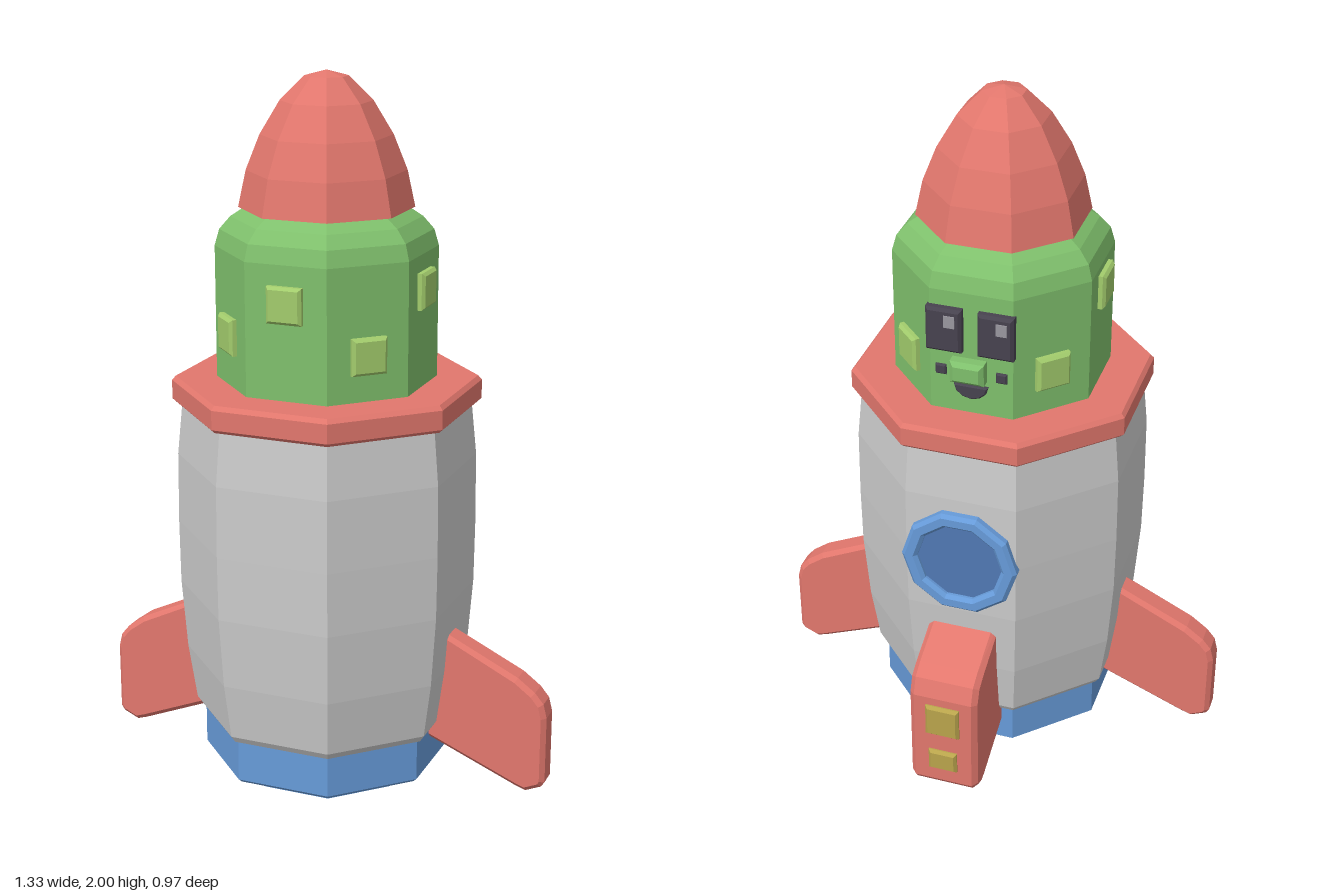
import * as THREE from 'three';

const AXIS_Z = 0.087;
const RED = 0xe2776d, GREEN = 0x7fc06c, LIME = 0xa2cc6c, BLUE = 0x679bd9;
const DEEP_BLUE = 0x5078b4, YELLOW = 0xb9a44c, DARK = 0x47424f, GLINT = 0x9a97a0;

function part(name, geometry, color = 0xcccccc) {
  const material = new THREE.MeshStandardMaterial({ color, flatShading: true });
  const mesh = new THREE.Mesh(geometry, material);
  mesh.name = name;
  return mesh;
}

// Turned solid; profile radii are measured to the flats, which face the axes.
function turned(profile, sides = 8) {
  const k = 1 / Math.cos(Math.PI / sides);
  const points = profile.map(([r, y]) => new THREE.Vector2(r * k, y));
  return new THREE.LatheGeometry(points, sides, Math.PI / sides);
}

// Chamfered slab spanning z = 0 to depth
function slab(points, depth, bevel) {
  const shape = new THREE.Shape(points.map(([x, y]) => new THREE.Vector2(x, y)));
  const g = new THREE.ExtrudeGeometry(shape, {
    depth: depth - 2 * bevel, bevelEnabled: bevel > 0, bevelSize: bevel,
    bevelThickness: bevel, bevelOffset: -bevel, bevelSegments: 1,
  });
  return g.translate(0, 0, bevel);
}

function tile(w, h, d, bevel = 0.008) {
  const x = w / 2, y = h / 2;
  return slab([[-x, -y], [x, -y], [x, y], [-x, y]], d, bevel);
}

function put(parent, mesh, x, y, z) {
  mesh.position.set(x, y, z);
  parent.add(mesh);
}

export function createModel() {
  const root = new THREE.Group();
  root.name = 'rocket';
  const rocket = new THREE.Group();
  rocket.name = 'rocketBody';
  rocket.position.z = AXIS_Z;
  root.add(rocket);

  // Main stack of octagonal sections
  rocket.add(part('engineBase', turned([[0, 0], [0.23, 0], [0.23, 0.05], [0.315, 0.05],
    [0.325, 0.06], [0.325, 0.18], [0, 0.18]]), BLUE));
  rocket.add(part('hull', turned([[0, 0.18], [0.335, 0.18], [0.348, 0.2], [0.37, 0.36],
    [0.384, 0.56], [0.386, 0.74], [0.384, 0.94], [0.37, 1.09], [0, 1.09]])));
  rocket.add(part('collar', turned([[0, 1.09], [0.385, 1.09], [0.395, 1.1], [0.395, 1.153],
    [0.385, 1.165], [0, 1.165]]), RED));
  rocket.add(part('head', turned([[0, 1.165], [0.28, 1.165], [0.28, 1.53], [0.268, 1.575],
    [0.24, 1.61], [0.195, 1.642], [0, 1.642]]), GREEN));
  rocket.add(part('noseCone', turned([[0, 1.635], [0.22, 1.635], [0.2, 1.735], [0.165, 1.83],
    [0.115, 1.92], [0.055, 1.985], [0, 2]]), RED));

  // Side fins
  const sideFin = [[0.3, 0.5], [0.58, 0.367], [0.63, 0.33], [0.655, 0.3], [0.665, 0.26],
    [0.665, 0.065], [0.655, 0.05], [0.61, 0.03], [0.58, 0.04], [0.3, 0.155]];
  for (const [name, angle] of [['leftFin', 0], ['rightFin', Math.PI]]) {
    const fin = part(name, slab(sideFin, 0.08, 0.013).translate(0, 0, -0.04), RED);
    fin.rotation.y = angle;
    rocket.add(fin);
  }

  // Back fin, wider than the side ones
  const backFin = part('backFin', slab([[0.28, 0.54], [0.5, 0.445], [0.54, 0.42], [0.56, 0.37],
    [0.56, 0.065], [0.548, 0.048], [0.51, 0.035], [0.48, 0.045], [0.25, 0.145]],
  0.2, 0.015).translate(0, 0, -0.1), RED);
  backFin.rotation.y = Math.PI / 2;
  rocket.add(backFin);

  // Raised studs around the head: [angle in eighths of a turn, height]
  const studs = [[0, 1.425], [1, 1.29], [2, 1.435], [3, 1.29], [5, 1.29], [6, 1.46], [7, 1.31]];
  for (const [eighth, y] of studs) {
    const pivot = new THREE.Group();
    pivot.name = 'studMount';
    pivot.rotation.y = eighth * Math.PI / 4;
    put(pivot, part('stud', tile(0.1, 0.1, 0.03), LIME), 0, y, 0.27);
    rocket.add(pivot);
  }

  // Details on the back, built in a group that faces -z
  const back = new THREE.Group();
  back.name = 'backDetails';
  back.rotation.y = Math.PI;
  rocket.add(back);

  // Fin lights
  put(back, part('upperFinLight', tile(0.1, 0.105, 0.025), YELLOW), 0, 0.292, 0.547);
  put(back, part('lowerFinLight', tile(0.085, 0.07, 0.025), YELLOW), 0, 0.145, 0.547);

  // Porthole
  const rim = turned([[0.16, 0], [0.16, 0.026], [0.15, 0.036], [0.127, 0.036], [0.117, 0.026],
    [0.117, 0]], 10).rotateX(Math.PI / 2);
  put(back, part('portholeRim', rim, BLUE), 0, 0.74, 0.375);
  const glass = turned([[0, 0], [0.12, 0], [0.12, 0.018], [0, 0.018]], 10).rotateX(Math.PI / 2);
  put(back, part('portholeGlass', glass, DEEP_BLUE), 0, 0.74, 0.375);

  // Face: eyes with glints, freckles, nose and mouth
  for (const s of [-1, 1]) {
    put(back, part('eye', tile(0.1, 0.13, 0.035), DARK), s * 0.072, 1.42, 0.268);
    put(back, part('eyeGlint', tile(0.03, 0.035, 0.008, 0), GLINT), s * 0.072 + 0.018, 1.45, 0.298);
    put(back, part('freckle', tile(0.03, 0.03, 0.016, 0.004), DARK), s * 0.085, 1.29, 0.272);
  }
  put(back, part('noseBridge', tile(0.06, 0.035, 0.03, 0), GREEN), 0, 1.31, 0.27);
  put(back, part('nose', tile(0.095, 0.065, 0.05, 0.012), GREEN), 0, 1.312, 0.283);
  const smile = [];
  for (let i = 0; i <= 6; i++) {
    const a = Math.PI * (1 + i / 6);
    smile.push([0.048 * Math.cos(a), 0.042 * Math.sin(a)]);
  }
  put(back, part('mouth', slab(smile, 0.02, 0.004), DARK), 0, 1.255, 0.272);

  return root;
}
